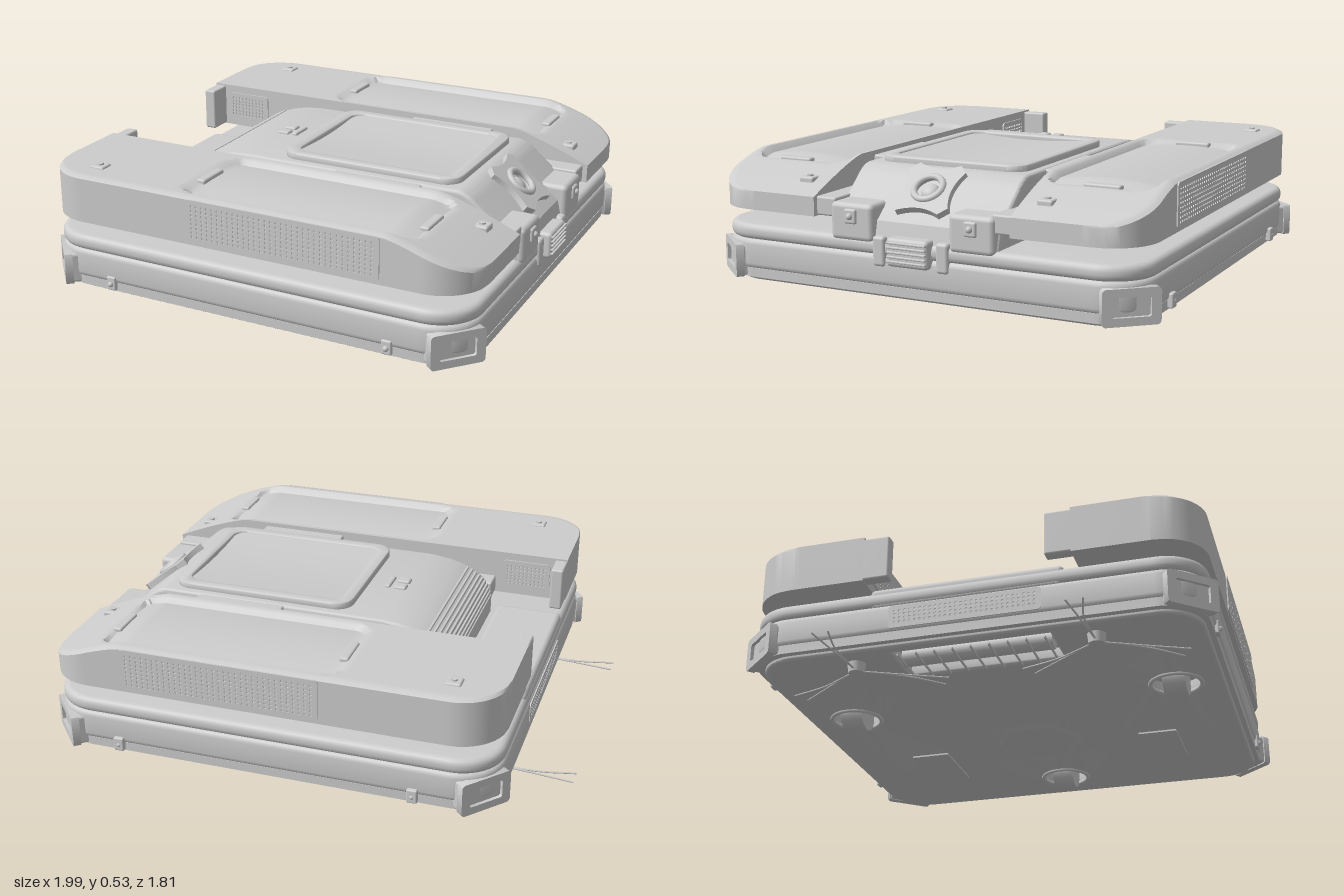
import * as THREE from 'three';
import { toCreasedNormals } from 'three/addons/utils/BufferGeometryUtils.js';
import { RoundedBoxGeometry } from 'three/addons/geometries/RoundedBoxGeometry.js';

const shell = new THREE.MeshStandardMaterial({ color: 0xcccccc });
shell.name = 'light grey shell';

function add(parent, name, geo, x = 0, y = 0, z = 0) {
  const mesh = new THREE.Mesh(geo, shell);
  mesh.name = name;
  mesh.position.set(x, y, z);
  parent.add(mesh);
  return mesh;
}

// Rounded box given by its limits
function block(parent, name, x0, x1, y0, y1, z0, z1, r = 0.008) {
  const geo = new RoundedBoxGeometry(x1 - x0, y1 - y0, z1 - z0, 2, r);
  return add(parent, name, geo, (x0 + x1) / 2, (y0 + y1) / 2, (z0 + z1) / 2);
}

function roundRect(w, h, r, Type = THREE.Shape) {
  const s = new Type(), a = w / 2, b = h / 2, q = Math.PI / 2;
  s.absarc(a - r, b - r, r, 0, q);
  s.absarc(r - a, b - r, r, q, 2 * q);
  s.absarc(r - a, r - b, r, 2 * q, 3 * q);
  s.absarc(a - r, r - b, r, 3 * q, 4 * q);
  s.closePath();
  return s;
}

function extrude(shape, depth, bevel = 0) {
  const geo = new THREE.ExtrudeGeometry(shape, {
    depth: depth - 2 * bevel, bevelEnabled: bevel > 0, bevelSize: bevel,
    bevelThickness: bevel, bevelOffset: -bevel, bevelSegments: 4, curveSegments: 10,
  });
  geo.translate(0, 0, bevel);
  return toCreasedNormals(geo, 0.6);
}

// Horizontal plate with rounded plan corners, optionally with holes
function plate(parent, name, x0, x1, halfZ, y0, y1, r, bevel = 0, holes = []) {
  const shape = roundRect(x1 - x0, 2 * halfZ, r);
  shape.holes.push(...holes);
  return add(parent, name, extrude(shape, y1 - y0, bevel).rotateX(-Math.PI / 2), (x0 + x1) / 2, y0, 0);
}

// Solid whose plan edge and top height follow rules
function slab(x0, x1, zIn, zOut, top, bottom, nx, nz) {
  const geo = new THREE.BoxGeometry(1, 1, 1, nx, 1, nz);
  const p = geo.attributes.position;
  for (let i = 0; i < p.count; i++) {
    const u = p.getX(i);
    const x = (x0 + x1) / 2 + (x1 - x0) * (0.4 * u + 0.3 * Math.sin(Math.PI * u));
    const edge = zOut(x), z = zIn + (edge - zIn) * (p.getZ(i) + 0.5);
    p.setXYZ(i, x, p.getY(i) > 0 ? top(x, z, edge) : bottom, z);
  }
  return toCreasedNormals(geo, 0.6);
}

// Perforated thin panel facing +z
function grille(w, h, cols, rows) {
  const shape = roundRect(w, h, 0.015);
  for (let i = 0; i < cols; i++) for (let j = 0; j < rows; j++) {
    const hole = new THREE.Path();
    hole.absarc((i + 0.5 - cols / 2) * (w - 0.03) / cols, (j + 0.5 - rows / 2) * (h - 0.03) / rows, 0.006, 0, Math.PI * 2);
    shape.holes.push(hole);
  }
  return new THREE.ExtrudeGeometry(shape, { depth: 0.007, bevelEnabled: false, curveSegments: 3 });
}

// Height of the pod roof: flat, then sloping to the nose, with a long recessed lid
const roof = (x) => 0.512 - 0.112 * Math.pow(Math.max(0, (x - 0.65) / 0.32), 1.25);
function podTop(x, z, edge) {
  const qx = Math.abs(x - 0.28) - 0.41, qz = Math.abs(z - 0.625) - 0.145;
  const d = Math.hypot(Math.max(qx, 0), Math.max(qz, 0)) + Math.min(Math.max(qx, qz), 0) - 0.06;
  const lid = THREE.MathUtils.smoothstep(-d, 0, 0.018);
  const bulge = 0.016 * (1 - ((z - 0.625) / 0.205) ** 2);
  return roof(x) - lid * (0.026 - bulge) - Math.max(0, 0.02 - (edge - z)) * 0.5;
}
function podEdge(x) {
  const r = 0.18, d = Math.max(0, -0.78 + r - x, x - (0.97 - r));
  return 0.875 - r + Math.sqrt(Math.max(0, r * r - d * d));
}

function addChassis(g) {
  // Underside with wheel wells and roller intake
  const wheels = [[-0.15, 0.66], [-0.15, -0.66], [0.73, 0]];
  const wells = wheels.map(([x, z]) => {
    const p = new THREE.Path();
    p.absarc(x - 0.09, -z, 0.1, 0, Math.PI * 2);
    return p;
  });
  const intake = new THREE.Path([[-0.79, -0.3], [-0.58, -0.3], [-0.58, 0.3], [-0.79, 0.3]].map((c) => new THREE.Vector2(...c)));
  plate(g, 'underside', -0.75, 0.93, 0.845, 0.048, 0.11, 0.16, 0.012, [...wells, intake]);
  plate(g, 'lowerBody', -0.78, 0.96, 0.872, 0.075 + 0.02, 0.213, 0.17, 0.022);
  plate(g, 'bumperSkirt', -0.775, 0.955, 0.865, 0.065, 0.1, 0.165, 0, [...wells, intake]);
  plate(g, 'deck', -0.78, 0.96, 0.872, 0.208, 0.268, 0.17, 0.024);
  wheels.forEach(([x, z]) => {
    add(g, 'wheel', new THREE.CylinderGeometry(0.072, 0.072, 0.09, 28).rotateX(Math.PI / 2), x, 0.072, z);
    add(g, 'wellRim', new THREE.TorusGeometry(0.1, 0.009, 8, 32).rotateX(Math.PI / 2), x, 0.048, z);
  });
  // Hexagonal hatch and side covers underneath
  add(g, 'hatch', new THREE.CylinderGeometry(0.2, 0.17, 0.014, 6), 0.27, 0.045, 0);
  for (const s of [-1, 1]) add(g, 'underCover', new THREE.BoxGeometry(0.3, 0.01, 0.16), 0.45, 0.046, s * 0.5);
  // Roller brush with fins and guard bars
  add(g, 'roller', new THREE.CylinderGeometry(0.035, 0.035, 0.58, 20).rotateX(Math.PI / 2), -0.595, 0.075, 0);
  for (let i = 0; i < 9; i++) block(g, 'guardBar', -0.7, -0.49, 0.036, 0.046, -0.283 + i * 0.07, -0.277 + i * 0.07, 0.002);
  // Corner bumpers with framed windows
  for (const sx of [-1, 1]) for (const sz of [-1, 1]) {
    const corner = new THREE.Group();
    corner.name = 'cornerBumper';
    corner.position.set(sx < 0 ? -0.735 : 0.915, 0.127, sz * 0.825);
    corner.lookAt(corner.position.x + sx * 0.16, 0.127, corner.position.z + sz * 0.14);
    block(corner, 'bumperPad', -0.1, 0.1, -0.06, 0.06, -0.1, -0.008, 0.012);
    const frame = roundRect(0.21, 0.13, 0.015);
    frame.holes.push(roundRect(0.14, 0.07, 0.008, THREE.Path));
    add(corner, 'windowFrame', extrude(frame, 0.03), 0, 0, -0.025);
    g.add(corner);
  }
  // Small side sensors
  for (const s of [-1, 1]) for (const x of [-0.48, 0.67]) {
    block(g, 'sideSensor', x - 0.02, x + 0.02, 0.07, 0.125, s * 0.872 - 0.015, s * 0.872 + 0.008, 0.006);
    add(g, 'sensorEye', new THREE.SphereGeometry(0.011, 12, 8), x, 0.095, s * 0.88);
  }
  // Rear bin and its vent
  block(g, 'rearBin', -0.775, -0.5, 0.2, 0.285, -0.37, 0.37, 0.02);
  add(g, 'rearVent', grille(0.58, 0.09, 28, 4), -0.776, 0.155, 0).rotation.y = -Math.PI / 2;
}

function addSweeper(g, s) {
  const b = new THREE.Group();
  b.name = 'sideBrush';
  b.position.set(-0.65, 0.02, s * 0.46);
  add(b, 'brushHub', new THREE.CylinderGeometry(0.035, 0.03, 0.04, 20), 0, 0.01, 0);
  for (let i = 0; i < 3; i++) for (const k of [-1, 1]) {
    const a = Math.PI + i * Math.PI * 2 / 3;
    const at = (r, t) => new THREE.Vector3(Math.cos(a + t) * r, -0.006 * r, Math.sin(a + t) * r);
    const path = new THREE.CatmullRomCurve3([at(0.02, 0), at(0.2, 0.04 * k + 0.04), at(0.347, 0.09 * k)]);
    add(b, 'bristle', new THREE.TubeGeometry(path, 10, 0.0035, 5));
  }
  g.add(b);
}

function addPod(g, s, geo) {
  const pod = new THREE.Group();
  pod.name = s > 0 ? 'frontPod' : 'backPod';
  add(pod, 'podShell', geo);
  const zz = (a, b) => (s > 0 ? [a, b] : [-b, -a]);
  add(pod, 'sideVent', grille(0.77, 0.165, 34, 8), 0.255, 0.422, s * 0.873).rotation.y = s > 0 ? 0 : Math.PI;
  add(pod, 'innerVent', grille(0.2, 0.12, 10, 6), -0.61, 0.42, s * 0.401).rotation.y = s > 0 ? Math.PI : 0;
  block(pod, 'rearFlange', -0.78, -0.73, 0.33, 0.505, ...zz(0.3, 0.42));
  for (const x of [-0.17, 0.73]) block(pod, 'lidLatch', x - 0.018, x + 0.018, roof(x) - 0.03, roof(x) + 0.004, ...zz(0.57, 0.71));
  for (const [x, z] of [[-0.59, 0.75], [0.86, 0.49]]) {
    block(pod, 'roofTab', x - 0.03, x + 0.03, roof(x) - 0.03, roof(x) + 0.008, ...zz(z - 0.03, z + 0.03));
    add(pod, 'tabStud', new THREE.CylinderGeometry(0.012, 0.012, 0.012, 14), x, roof(x) + 0.008, s * z);
  }
  // Links to the centre body
  block(pod, 'podLink', -0.48, 0.95, 0.33, 0.4, ...zz(0.32, 0.42));
  block(pod, 'upperLink', 0.2, 0.56, 0.38, 0.495, ...zz(0.33, 0.41));
  g.add(pod);
}

function addCentre(g) {
  // Body from a side profile: curved tail, flat roof, sloping nose
  const p = new THREE.Shape();
  p.moveTo(-0.48, 0.25);
  p.lineTo(-0.48, 0.33);
  p.bezierCurveTo(-0.47, 0.43, -0.38, 0.485, -0.2, 0.495);
  p.lineTo(0.7, 0.498);
  p.quadraticCurveTo(0.74, 0.495, 0.78, 0.455);
  p.lineTo(0.93, 0.33);
  p.lineTo(0.95, 0.25);
  add(g, 'centreBody', extrude(p, 0.68, 0.014), 0, 0, -0.34);
  // Ribs wrapping the tail
  const tail = new THREE.CubicBezierCurve(...[[-0.48, 0.33], [-0.47, 0.43], [-0.38, 0.485], [-0.2, 0.495]].map((c) => new THREE.Vector2(...c)));
  for (let i = 0; i < 10; i++) {
    const c = tail.getPoint(0.05 + i * 0.06);
    block(g, 'tailRib', c.x - 0.005, c.x + 0.005, c.y - 0.012, c.y + 0.005, -0.32, 0.32, 0.003);
  }
  // Top screen with raised frame
  plate(g, 'screenFrame', -0.055, 0.685, 0.305, 0.48, 0.522, 0.07, 0.008, [roundRect(0.64, 0.52, 0.05, THREE.Path)]);
  const dish = (x, z) => 0.516 - 0.014 * Math.cos(z / 0.27 * Math.PI / 2);
  add(g, 'screen', slab(-0.005, 0.635, -0.26, () => 0.26, dish, 0.48, 16, 20));
  // Buttons
  for (const s of [-1, 1]) block(g, 'button', -0.21, -0.16, 0.485, 0.505, s * 0.03 - 0.022, s * 0.03 + 0.022);
  block(g, 'statusBar', -0.145, -0.122, 0.485, 0.506, -0.05, 0.05);
  // Nose camera
  const cam = new THREE.Group();
  cam.name = 'noseCamera';
  cam.position.set(0.812, 0.422, 0);
  cam.lookAt(0.812 + 0.62, 0.422 + 0.79, 0);
  const f = new THREE.Shape();
  for (let i = 0; i < 4; i++) {
    const a = Math.PI / 4 + i * Math.PI / 2, at = (r, t) => [Math.cos(a + t) * r, Math.sin(a + t) * r];
    if (i) f.lineTo(...at(0.145, -0.15)); else f.moveTo(...at(0.145, -0.15));
    f.lineTo(...at(0.145, 0.15));
    f.quadraticCurveTo(...at(0.075, Math.PI / 4), ...at(0.145, Math.PI / 2 - 0.15));
  }
  const lensHole = new THREE.Path();
  lensHole.absarc(0, 0, 0.055, 0, Math.PI * 2);
  f.holes.push(lensHole);
  add(cam, 'cameraFrame', extrude(f, 0.04), 0, 0, -0.012);
  add(cam, 'cameraRing', new THREE.TorusGeometry(0.055, 0.013, 10, 32), 0, 0, 0.028);
  add(cam, 'lens', new THREE.SphereGeometry(0.034, 20, 12).scale(1, 1, 0.6), 0, 0, 0.008);
  g.add(cam);
  // Cheeks, sensors and front latch
  for (const s of [-1, 1]) {
    const z = s * 0.245;
    block(g, 'noseCheek', 0.82, 0.965, 0.25, 0.39, z - 0.09, z + 0.09, 0.02);
    block(g, 'cheekSensor', 0.95, 0.975, 0.315, 0.37, z - 0.025, z + 0.025);
    add(g, 'cheekEye', new THREE.SphereGeometry(0.013, 12, 8), 0.974, 0.343, z);
    block(g, 'latchArm', 0.9, 0.97, 0.17, 0.28, s * 0.13 - 0.025, s * 0.13 + 0.025, 0.012);
  }
  block(g, 'frontLatch', 0.9, 0.99, 0.18, 0.285, -0.085, 0.085, 0.015);
  for (let i = 0; i < 5; i++) block(g, 'latchRib', 0.97, 0.998, 0.197 + i * 0.017, 0.205 + i * 0.017, -0.08, 0.08, 0.003);
}

export function createModel() {
  const g = new THREE.Group();
  g.name = 'floorCleaningRobot';
  addChassis(g);
  addCentre(g);
  const front = slab(-0.78, 0.97, 0.4, podEdge, podTop, 0.328, 110, 36);
  // The back pod is the mirrored shell with its triangles turned round
  const back = front.clone();
  for (const key of ['position', 'normal']) {
    const a = back.attributes[key];
    for (let i = 0; i < a.count; i++) a.setZ(i, -a.getZ(i));
  }
  back.setIndex(Array.from({ length: back.attributes.position.count }, (_, i) => i - (i % 3) + 2 - (i % 3)));
  addPod(g, 1, front);
  addPod(g, -1, back);
  for (const s of [-1, 1]) addSweeper(g, s);
  return g;
}
